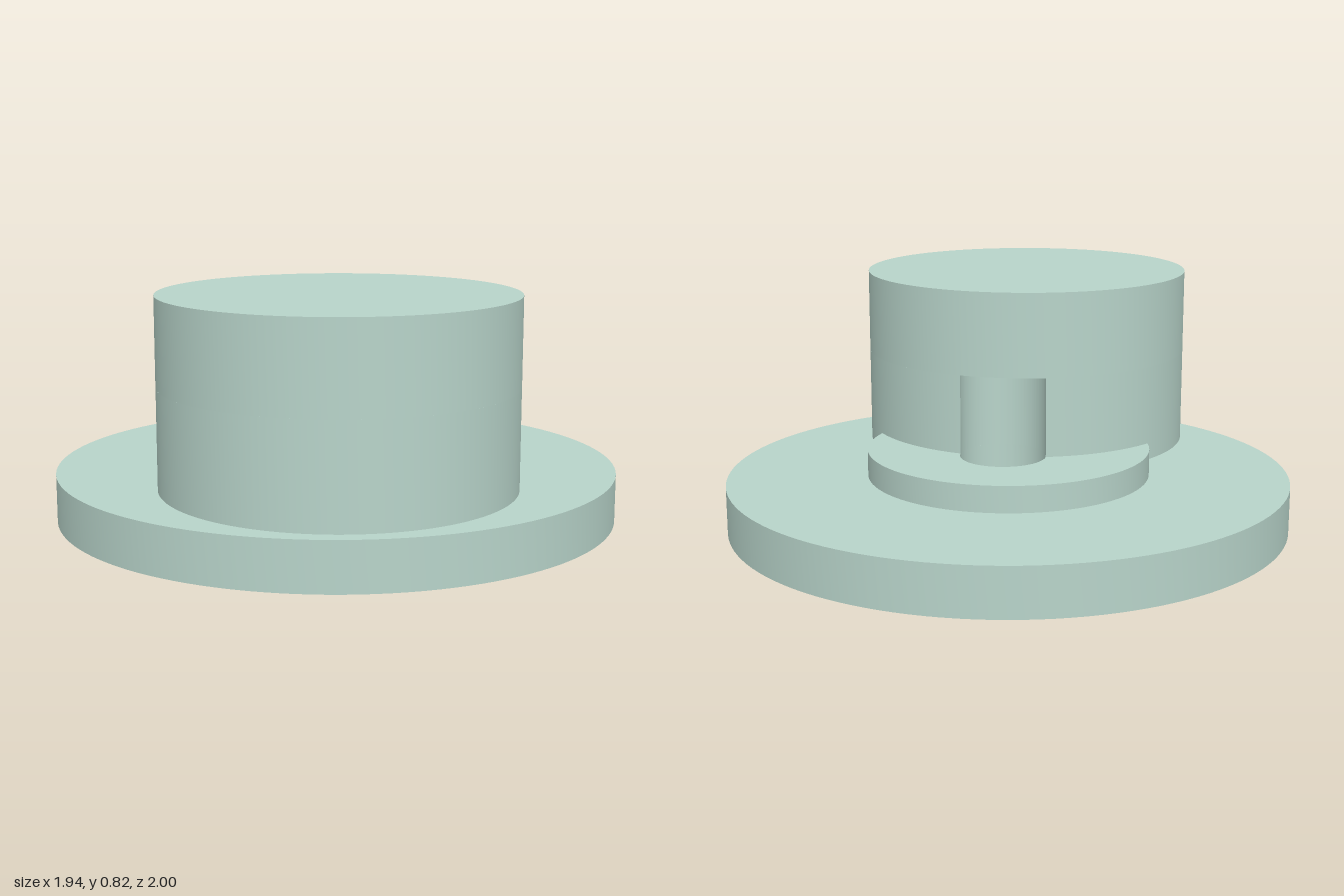
import * as THREE from 'three';
import { toCreasedNormals } from 'three/addons/utils/BufferGeometryUtils.js';

const material = new THREE.MeshStandardMaterial({ color: 0xb8d4ca });
const SEGMENTS = 64;
const bore = { r: 0.147, z: -0.14, top: 0.53 };
const drum = { r: 0.58, z: 0.42, bottom: 0.197, top: 0.82 };

// Plan shapes are drawn in x and -z, then raised from y0 to y1.
function slab(name, shape, y0, y1) {
  const geometry = new THREE.ExtrudeGeometry(shape, {
    depth: y1 - y0, bevelEnabled: false, curveSegments: SEGMENTS,
  });
  geometry.rotateX(-Math.PI / 2).translate(0, y0, 0);
  const mesh = new THREE.Mesh(toCreasedNormals(geometry, 0.5), material);
  mesh.name = name;
  return mesh;
}

function disc(r, z) {
  return new THREE.Shape().absarc(0, -z, r, 0, Math.PI * 2, false);
}

// Disc pierced by the off-centre bore
function boredDisc(r, z) {
  const shape = disc(r, z);
  shape.holes.push(new THREE.Path().absarc(0, -bore.z, bore.r, 0, Math.PI * 2, true));
  return shape;
}

// Drum outline with the bore biting into its back edge
function notchedDisc() {
  const d = drum.z - bore.z;
  const a = (drum.r ** 2 - bore.r ** 2 + d ** 2) / (2 * d);
  const half = Math.acos(a / drum.r);
  const biteAngle = Math.atan2(a - d, drum.r * Math.sin(half));
  const shape = new THREE.Shape();
  shape.absarc(0, -drum.z, drum.r, Math.PI / 2 + half, Math.PI * 2.5 - half, false);
  shape.absarc(0, -bore.z, bore.r, biteAngle, Math.PI - biteAngle, true);
  return shape;
}

export function createModel() {
  const model = new THREE.Group();
  model.name = 'eccentricHub';

  // Flange and raised boss
  model.add(slab('baseFlange', boredDisc(0.972, -0.028), 0, 0.165));
  model.add(slab('boss', boredDisc(0.49, -0.017), 0.165, 0.256));

  // Eccentric drum: notched by the blind bore below, full above
  const eccentric = new THREE.Group();
  eccentric.name = 'eccentricDrum';
  eccentric.add(slab('notchedDrum', notchedDisc(), drum.bottom, bore.top));
  eccentric.add(slab('upperDrum', disc(drum.r, drum.z), bore.top, drum.top));
  model.add(eccentric);

  return model;
}
